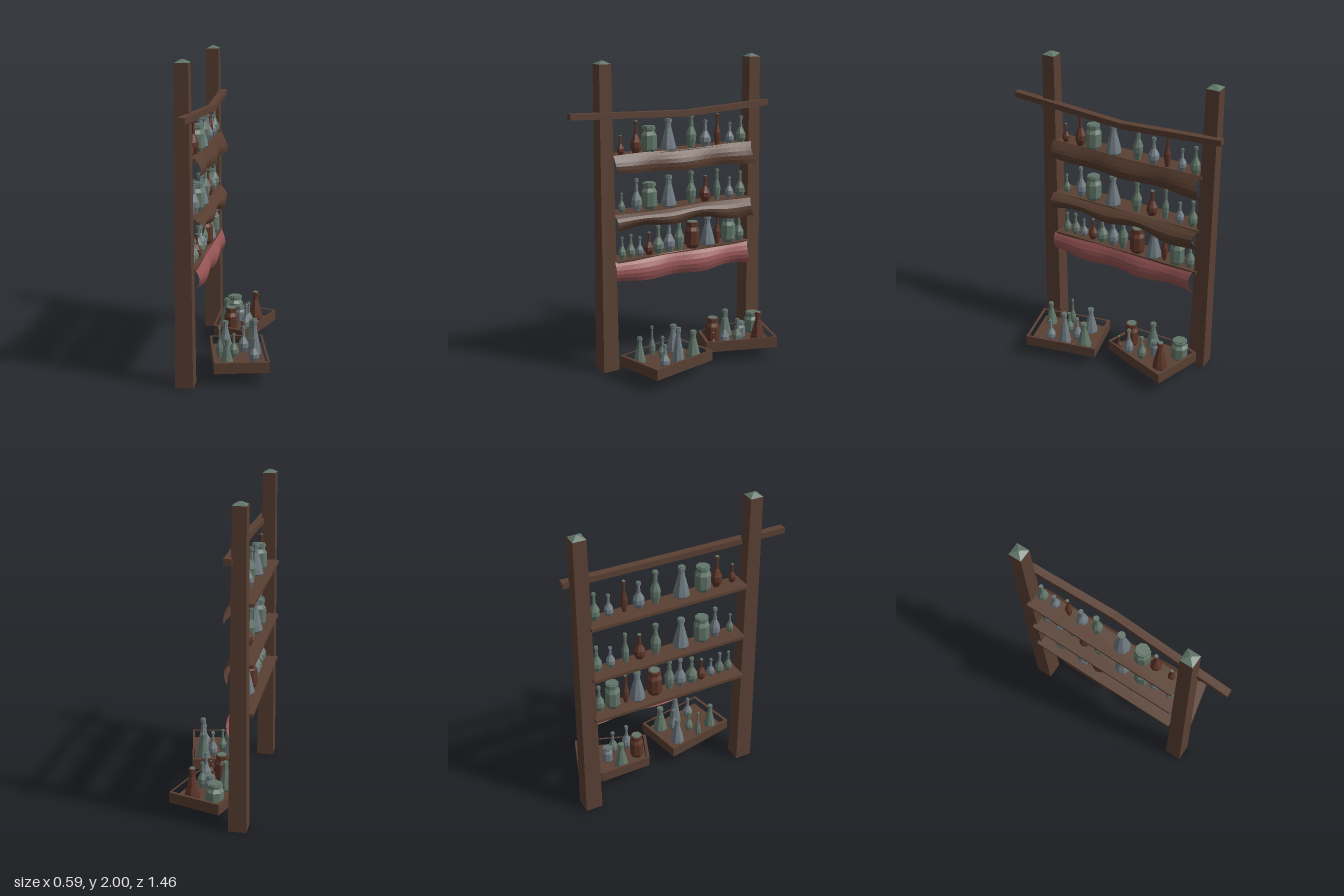
import * as THREE from 'three';

const mat = (name, color, extra = {}) => {
  const m = new THREE.MeshStandardMaterial({ color, flatShading: true, ...extra });
  m.name = name;
  return m;
};

export function createModel() {
  const root = new THREE.Group();
  root.name = 'bottleRack';
  const wood = mat('wood', 0x5a4033);
  const green = mat('greenGlass', 0x62766a);
  const blue = mat('blueGlass', 0x6f7b82);
  const brown = mat('brownGlass', 0x5c3528);
  const hide = mat('brownCloth', 0x573d30, { side: THREE.DoubleSide });
  const red = mat('redCloth', 0x985555, { side: THREE.DoubleSide });
  const glass = { g: green, b: blue, r: brown };

  const add = (parent, name, geo, material, x = 0, y = 0, z = 0) => {
    const m = new THREE.Mesh(geo, material);
    m.name = name;
    m.position.set(x, y, z);
    parent.add(m);
    return m;
  };

  // Tapered square posts with low pyramid caps
  const square = (top, bottom, h) =>
    new THREE.CylinderGeometry(top * Math.SQRT1_2, bottom * Math.SQRT1_2, h, 4).rotateY(Math.PI / 4);
  for (const z of [0.48, -0.643]) {
    add(root, 'post', square(0.083, 0.112, 1.98), wood, -0.22, 0.99, z);
    add(root, 'postCap', square(0.012, 0.083, 0.02), green, -0.22, 1.99, z);
  }

  // Sagging crossbar, bent at its middle
  const bar = new THREE.BoxGeometry(0.047, 0.038, 1.46, 1, 1, 2);
  const bp = bar.attributes.position;
  for (let i = 0; i < bp.count; i++) {
    const z = bp.getZ(i);
    const [cx, cy, cz] = z < -0.1 ? [-0.163, 1.675, -0.73] : z > 0.1 ? [-0.183, 1.677, 0.73] : [-0.137, 1.65, -0.07];
    bp.setXYZ(i, bp.getX(i) + cx, bp.getY(i) + cy, cz);
  }
  add(root, 'crossbar', bar, wood);

  // Shelf boards
  const shelfY = [1.41, 1.04, 0.735];
  for (const y of shelfY) add(root, 'shelf', new THREE.BoxGeometry(0.14, 0.02, 1.04), wood, -0.225, y - 0.01, -0.09);

  // Hanging cloths: an outline down the front, a wavy lower edge and soft folds
  const curve = (pts) => new THREE.CatmullRomCurve3(pts.map(([x, y]) => new THREE.Vector3(x, y, 0)));
  function cloth(name, material, top, lowerEdge, outline, phase, zEnd) {
    const low = curve(lowerEdge.map((y, i) => [i, y]));
    const out = curve(outline.map((x, i) => [x, i]));
    const geo = new THREE.PlaneGeometry(1, 1, 20, 5);
    const p = geo.attributes.position;
    for (let i = 0; i < p.count; i++) {
      const s = p.getX(i) + 0.5, t = 0.5 - p.getY(i);
      const y = THREE.MathUtils.lerp(top + 0.004 * Math.sin(s * 9 + phase), low.getPoint(s).y, t);
      const fold = 0.012 * t * Math.sin(s * 15 + phase);
      p.setXYZ(i, out.getPoint(t).x + fold, y, THREE.MathUtils.lerp(0.445, zEnd + 0.02 * Math.sin(t * 4), s));
    }
    geo.computeVertexNormals();
    add(root, name, geo, material);
  }
  cloth('upperCloth', hide, 1.417, [1.31, 1.30, 1.285, 1.29, 1.285, 1.275], [-0.16, -0.135, -0.122, -0.13], 0, -0.61);
  cloth('middleCloth', hide, 1.037, [0.94, 0.955, 0.935, 0.955, 0.915, 0.91], [-0.155, -0.115, -0.112, -0.13], 2, -0.605);
  cloth('lowerCloth', red, 0.735, [0.605, 0.585, 0.59, 0.575, 0.595, 0.575], [-0.16, -0.135, -0.13, -0.15], 4, -0.59);

  // Bottle profiles as [radius fraction, height fraction]
  const profiles = {
    flask: [[0.85, 0], [1, 0.06], [0.9, 0.2], [0.38, 0.74], [0.33, 0.88], [0.45, 0.9], [0.45, 1]],
    bulb: [[0.6, 0], [1, 0.2], [0.95, 0.36], [0.35, 0.6], [0.22, 0.9], [0.4, 0.92], [0.4, 1]],
    tall: [[0.6, 0], [0.95, 0.25], [1, 0.42], [0.45, 0.65], [0.35, 0.9], [0.55, 0.92], [0.55, 1]],
    jar: [[0.75, 0], [1, 0.14], [1, 0.68], [0.72, 0.82], [0.72, 0.87], [0.85, 0.89], [0.85, 1]],
  };
  function bottle(parent, type, color, x, y, z, r, h) {
    const pts = [[0, 0], ...profiles[type], [0, 1]].map(([a, b]) => new THREE.Vector2(a * r, b * h));
    add(parent, type === 'jar' ? 'jar' : 'bottle', new THREE.LatheGeometry(pts, 8), glass[color], x, y, z);
    const rim = profiles[type].at(-1)[0] * r * 0.8;
    add(parent, 'stopper', new THREE.CylinderGeometry(rim, rim, 0.006, 8), green, x, y + h + 0.002, z);
  }

  // Bottles standing on the shelves: [type, colour, z, radius, height]
  const rows = [
    [['bulb', 'r', 0.37, 0.024, 0.12], ['bulb', 'r', 0.26, 0.036, 0.205], ['jar', 'g', 0.165, 0.052, 0.165],
      ['flask', 'b', 0.02, 0.053, 0.2], ['tall', 'g', -0.155, 0.034, 0.215], ['bulb', 'b', -0.265, 0.038, 0.17],
      ['tall', 'r', -0.36, 0.022, 0.205], ['bulb', 'b', -0.46, 0.03, 0.14], ['bulb', 'g', -0.55, 0.034, 0.175]],
    [['bulb', 'g', 0.37, 0.024, 0.125], ['bulb', 'b', 0.26, 0.036, 0.205], ['jar', 'g', 0.165, 0.052, 0.17],
      ['flask', 'b', 0.02, 0.053, 0.2], ['tall', 'g', -0.155, 0.034, 0.21], ['bulb', 'r', -0.265, 0.038, 0.17],
      ['tall', 'g', -0.36, 0.024, 0.205], ['bulb', 'b', -0.46, 0.03, 0.14], ['bulb', 'g', -0.55, 0.034, 0.17]],
    [['bulb', 'g', 0.37, 0.026, 0.14], ['bulb', 'g', 0.305, 0.03, 0.15], ['bulb', 'b', 0.24, 0.026, 0.125],
      ['bulb', 'r', 0.17, 0.032, 0.145], ['bulb', 'g', 0.1, 0.04, 0.18], ['bulb', 'b', 0.017, 0.04, 0.2],
      ['tall', 'g', -0.06, 0.034, 0.215], ['jar', 'r', -0.165, 0.05, 0.175], ['flask', 'b', -0.285, 0.053, 0.2],
      ['tall', 'r', -0.365, 0.022, 0.2], ['jar', 'g', -0.455, 0.05, 0.175], ['bulb', 'g', -0.545, 0.034, 0.175]],
  ];
  rows.forEach((row, i) => row.forEach(([type, c, z, r, h]) => bottle(root, type, c, -0.2, shelfY[i], z, r, h)));

  // Low crates: rim extruded from an outline with a hole, plus a floor
  function crate(name, outline, y, h, items) {
    const g = new THREE.Group();
    g.name = name;
    root.add(g);
    const pts = outline.map(([x, z]) => new THREE.Vector2(x, -z));
    const mid = pts.reduce((a, p) => a.add(p), new THREE.Vector2()).divideScalar(pts.length);
    const inner = pts.map((p) => p.clone().sub(mid).multiplyScalar(0.92).add(mid));
    const rim = new THREE.Shape(pts);
    rim.holes.push(new THREE.Path(inner));
    const up = (shape, depth) => new THREE.ExtrudeGeometry(shape, { depth, bevelEnabled: false }).rotateX(-Math.PI / 2);
    add(g, 'crateRim', up(rim, h), wood, 0, y, 0);
    add(g, 'crateFloor', up(new THREE.Shape(inner), 0.02), wood, 0, y + 0.001, 0);
    for (const [type, c, x, z, r, top] of items) bottle(g, type, c, x, y + 0.02, z, r, top - y - 0.02);
  }
  crate('rearCrate', [[-0.1, -0.67], [0.233, -0.56], [0.155, -0.33], [0.07, -0.1], [-0.15, -0.18], [-0.155, -0.52]], 0.085, 0.07, [
    ['jar', 'g', -0.058, -0.567, 0.058, 0.245], ['flask', 'r', 0.097, -0.5, 0.05, 0.3],
    ['jar', 'b', 0, -0.42, 0.036, 0.22], ['flask', 'g', -0.085, -0.357, 0.047, 0.29],
    ['bulb', 'g', 0.066, -0.35, 0.033, 0.27], ['jar', 'r', -0.035, -0.22, 0.047, 0.275],
    ['bulb', 'b', 0.062, -0.25, 0.034, 0.29], ['bulb', 'r', 0.047, -0.17, 0.022, 0.2]]);
  crate('frontCrate', [[-0.145, 0.005], [0.194, -0.065], [0.243, 0.172], [0.295, 0.41], [-0.043, 0.482], [-0.097, 0.24]], 0.08, 0.07, [
    ['flask', 'b', -0.03, 0.093, 0.048, 0.285], ['flask', 'g', 0.14, 0.047, 0.05, 0.285],
    ['bulb', 'b', 0.093, 0.128, 0.033, 0.27], ['flask', 'b', 0.17, 0.18, 0.042, 0.34],
    ['bulb', 'g', -0.045, 0.245, 0.022, 0.3], ['bulb', 'g', 0.043, 0.22, 0.03, 0.25],
    ['bulb', 'b', 0.18, 0.285, 0.034, 0.25], ['flask', 'g', 0.023, 0.377, 0.04, 0.27]]);

  return root;
}
